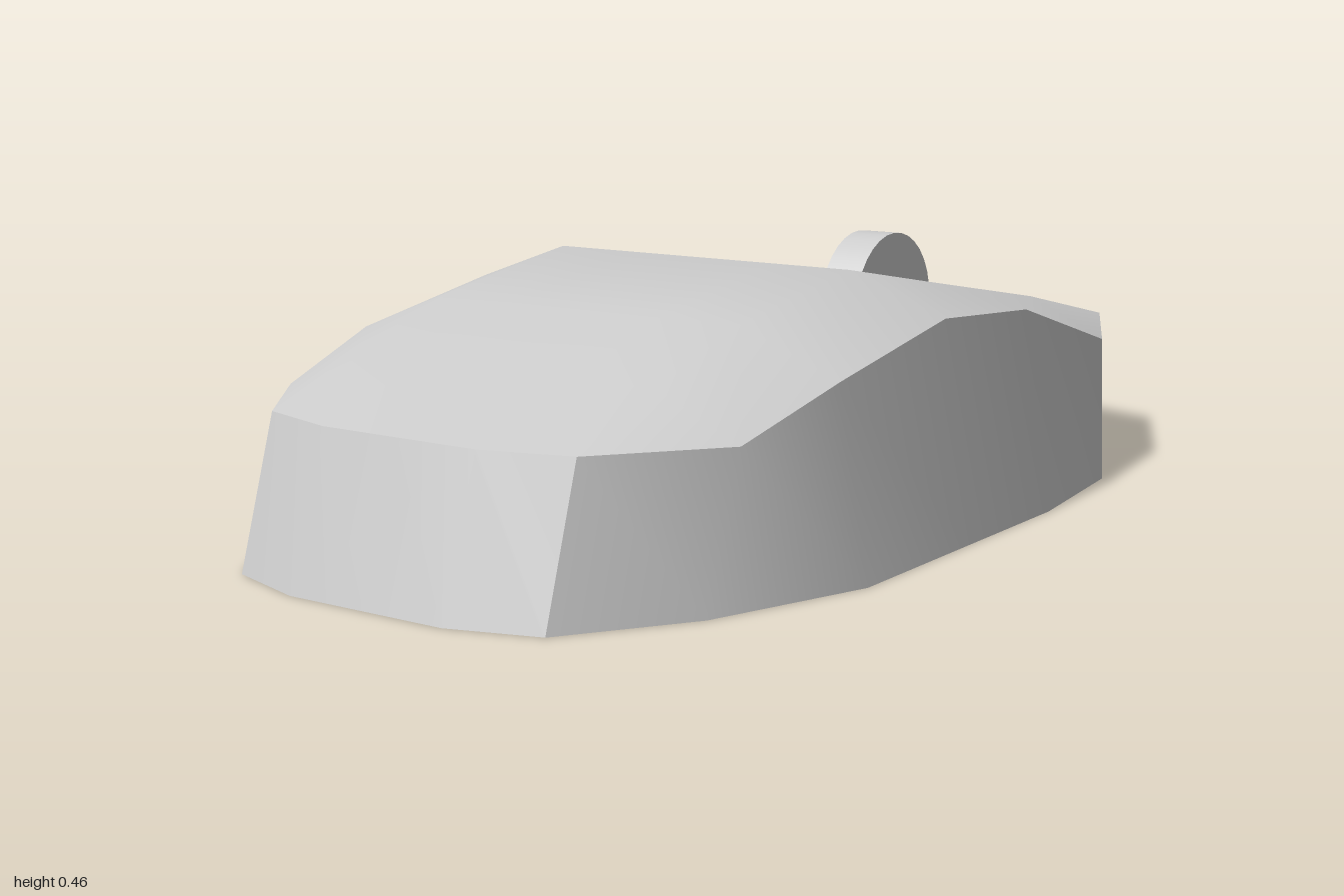
import * as THREE from 'three';
import { toCreasedNormals } from 'three/addons/utils/BufferGeometryUtils.js';

// Half outline from nose (-z) to tail: rim x, y, z, then base x, z
const OUTLINE = [
  [0, 0.26, -1, 0, -0.9],
  [0.16, 0.26, -0.975, 0.16, -0.88],
  [0.32, 0.26, -0.925, 0.32, -0.83],
  [0.48, 0.26, -0.6, 0.53, -0.51],
  [0.515, 0.37, -0.2, 0.57, -0.2],
  [0.515, 0.39, 0.1, 0.57, 0.1],
  [0.515, 0.33, 0.44, 0.57, 0.44],
  [0.48, 0.26, 0.67, 0.465, 0.74],
  [0.32, 0.26, 0.87, 0.32, 0.95],
  [0.16, 0.26, 0.915, 0.16, 1],
  [0, 0.26, 0.915, 0, 1],
];
// Height of the top along the middle, at outline stations 3 to 7
const CREST = [0.333, 0.405, 0.46, 0.405, 0.335];

function shellGeometry() {
  const positions = [];
  const tri = (a, b, c) => {
    if (a.equals(b) || b.equals(c) || a.equals(c)) return;
    for (const p of [a, b, c]) positions.push(p.x, p.y, p.z);
  };
  const V = (x, y, z) => new THREE.Vector3(x, y, z);

  // Closed outline: +x half, then the mirrored half back to the nose
  const mirrored = OUTLINE.slice(1, -1).reverse().map(([x, y, z, bx, bz]) => [-x, y, z, -bx, bz]);
  const loop = [...OUTLINE, ...mirrored];
  const rim = loop.map(([x, y, z]) => V(x, y, z));
  const base = loop.map(([, , , x, z]) => V(x, 0, z));

  // Side wall and flat underside
  const centre = V(0, 0, 0);
  loop.forEach((_, i) => {
    const j = (i + 1) % loop.length;
    tri(base[i], rim[i], rim[j]);
    tri(base[i], rim[j], base[j]);
    tri(centre, base[i], base[j]);
  });

  // Domed top: rows from nose to tail, columns from -x to +x
  const fullRow = (half) => [...half.slice(1).reverse().map((p) => V(-p.x, p.y, p.z)), ...half];
  const rimPoint = (i) => V(...OUTLINE[i].slice(0, 3));
  const rows = [
    fullRow([0, 1, 2, 2].map(rimPoint)),
    ...CREST.map((y, k) => {
      const edge = rimPoint(k + 3);
      return fullRow([V(0, y, edge.z), V(0.16, y, edge.z), V(0.32, y, edge.z), edge]);
    }),
    fullRow([10, 9, 8, 8].map(rimPoint)),
  ];
  for (let r = 0; r < rows.length - 1; r++) {
    for (let c = 0; c < 6; c++) {
      tri(rows[r][c], rows[r + 1][c], rows[r + 1][c + 1]);
      tri(rows[r][c], rows[r + 1][c + 1], rows[r][c + 1]);
    }
  }

  const geometry = new THREE.BufferGeometry();
  geometry.setAttribute('position', new THREE.Float32BufferAttribute(positions, 3));
  return toCreasedNormals(geometry, THREE.MathUtils.degToRad(30));
}

export function createModel() {
  const model = new THREE.Group();
  model.name = 'computerMouse';
  const material = new THREE.MeshStandardMaterial({ color: 0xcccccc });

  const shell = new THREE.Mesh(shellGeometry(), material);
  shell.name = 'shell';
  model.add(shell);

  // Scroll wheel sunk into the top near the nose
  const wheel = new THREE.Mesh(new THREE.CylinderGeometry(0.15, 0.15, 0.084, 32), material);
  wheel.name = 'scrollWheel';
  wheel.rotation.z = Math.PI / 2;
  wheel.position.set(0, 0.3, -0.53);
  model.add(wheel);

  return model;
}
